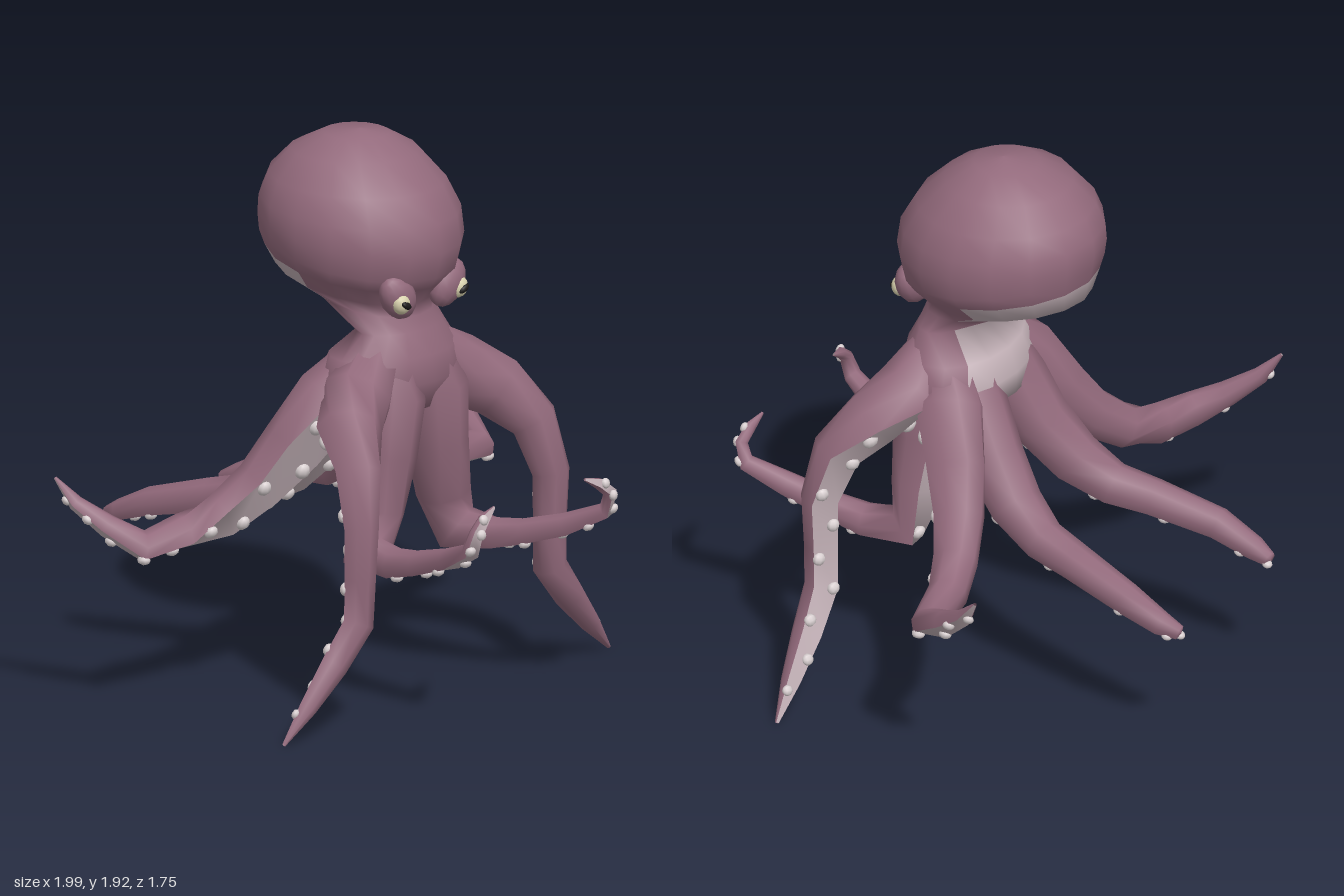
import * as THREE from 'three';

const mat = (color, side = THREE.FrontSide) =>
  new THREE.MeshStandardMaterial({ color, side });
const skin = mat(0x936a7c, THREE.DoubleSide);
const pale = mat(0xc2b0b6, THREE.DoubleSide);
const suckerMat = mat(0xd9d0d1);
const eyeMat = mat(0xd9d2ae);
const pupilMat = mat(0x1c1a1a);
const V = (x, y, z) => new THREE.Vector3(x, y, z);

// Skins closed rings of points; isPale(i, j, centre) sorts faces into two colours.
function loft(name, rings, isPale, crease) {
  const n = rings[0].length;
  const index = [[], []];
  for (let i = 0; i < rings.length - 1; i++) {
    for (let j = 0; j < n; j++) {
      const k = (j + 1) % n;
      const centre = rings[i][j].clone().add(rings[i][k])
        .add(rings[i + 1][j]).add(rings[i + 1][k]).multiplyScalar(0.25);
      const a = i * n + j, b = i * n + k, c = a + n, d = b + n;
      index[isPale(i, j, centre) ? 1 : 0].push(a, b, c, b, d, c);
    }
  }
  const make = (idx) => {
    const g = new THREE.BufferGeometry().setFromPoints(rings.flat());
    g.setIndex(idx);
    g.computeVertexNormals();
    return g;
  };
  const whole = make([...index[0], ...index[1]]);
  const group = new THREE.Group();
  group.name = name;
  index.forEach((idx, p) => {
    const g = make(idx);
    if (!crease) g.setAttribute('normal', whole.getAttribute('normal'));
    const mesh = new THREE.Mesh(g, p ? pale : skin);
    mesh.name = name + (p ? 'Underside' : 'Skin');
    group.add(mesh);
  });
  return group;
}

// Head and mantle rings, tilted up at the back: [front y, back y, front z, back z, half width]
const BODY = [
  [1.925, 1.925, 0.011, 0.009, 0.001], [1.91, 1.912, 0.11, -0.12, 0.11],
  [1.85, 1.855, 0.21, -0.235, 0.215], [1.75, 1.775, 0.31, -0.315, 0.29],
  [1.65, 1.7, 0.365, -0.345, 0.328], [1.55, 1.645, 0.38, -0.35, 0.332],
  [1.46, 1.59, 0.355, -0.342, 0.325], [1.42, 1.535, 0.325, -0.328, 0.298],
  [1.36, 1.46, 0.275, -0.31, 0.235], [1.32, 1.4, 0.28, -0.13, 0.2],
  [1.27, 1.28, 0.295, 0.09, 0.19], [1.19, 1.19, 0.335, -0.015, 0.262],
  [1.1, 1.1, 0.35, -0.045, 0.31], [1.0, 1.02, 0.31, -0.04, 0.26],
  [1.05, 1.06, 0.24, 0.06, 0.14], [1.07, 1.07, 0.151, 0.149, 0.001],
];

function makeBody() {
  const n = 16;
  const rings = BODY.map(([yf, yb, f, b, w]) => Array.from({ length: n }, (_, j) => {
    const a = (j / n) * Math.PI * 2, s = (1 + Math.sin(a)) / 2;
    return V(w * Math.cos(a), yb + (yf - yb) * s, b + (f - b) * s);
  }));
  return loft('body', rings, (i, j, c) => {
    if (i >= 13) return true;
    if (i < 10) return i >= 7 && c.z < 0.04;
    return c.z < 0.14 && Math.abs(c.x) < 0.17;
  }, false);
}

// Arms: [x, y, z, radius, underside direction x, y, z]
const ARMS = {
  outerFrontArm: [
    [0.1, 1.19, 0.2, 0.09, 0.2, -1, -0.3], [0.25, 1.07, 0.22, 0.125, 0.4, -1, -0.5],
    [0.375, 0.995, 0.295, 0.112, 0.4, -0.7, -0.8], [0.448, 0.88, 0.395, 0.085, 0.5, -0.2, -1],
    [0.485, 0.7, 0.44, 0.066, 0.6, 0, -1], [0.485, 0.53, 0.435, 0.06, 0.6, 0, -1],
    [0.49, 0.37, 0.43, 0.06, 0.6, 0.1, -0.9], [0.6, 0.24, 0.42, 0.052, 0.5, 0.2, -0.9],
    [0.72, 0.115, 0.41, 0.034, 0.5, 0.2, -0.9], [0.825, 0.008, 0.4, 0.007, 0.5, 0.2, -0.9],
  ],
  innerFrontArm: [
    [0.07, 1.25, 0.2, 0.085, 0, -0.3, -1], [0.11, 1.04, 0.245, 0.12, 0, 0, -1],
    [0.13, 0.85, 0.242, 0.108, 0, 0, -1], [0.17, 0.66, 0.237, 0.095, 0.2, 0, -1],
    [0.225, 0.522, 0.247, 0.088, 0, -0.7, -0.7], [0.255, 0.52, 0.4, 0.06, 0, -1, 0],
    [0.27, 0.545, 0.52, 0.05, 0, -1, 0], [0.3, 0.595, 0.68, 0.044, 0.1, -1, 0.2],
    [0.345, 0.66, 0.815, 0.032, 0.3, -0.6, 0.7], [0.34, 0.73, 0.838, 0.024, 0.3, 0, 1],
    [0.29, 0.77, 0.83, 0.02, 0, 0.3, 1], [0.23, 0.795, 0.82, 0.005, 0, 0.3, 1],
  ],
  sideArm: [
    [0.1, 1.16, 0.12, 0.09, 0, -1, 0.3], [0.23, 1.04, 0.08, 0.122, 0.3, -0.6, 0.7],
    [0.33, 0.88, 0.0, 0.108, 0.4, -0.5, 0.8], [0.42, 0.75, -0.07, 0.09, 0.3, -0.5, 0.9],
    [0.54, 0.655, -0.13, 0.078, 0.1, -0.4, 1], [0.68, 0.61, -0.185, 0.07, 0, -0.9, 0.4],
    [0.85, 0.59, -0.215, 0.06, 0.2, -1, 0.1], [0.91, 0.655, -0.32, 0.045, 0.6, -0.8, 0],
    [0.96, 0.73, -0.42, 0.03, 0.6, -0.8, 0], [0.99, 0.815, -0.485, 0.006, 0.6, -0.8, 0],
  ],
  backArm: [
    [0.08, 1.17, 0.09, 0.085, 0, -1, 0.5], [0.12, 1.02, 0.05, 0.112, 0, -0.4, 1],
    [0.15, 0.85, -0.04, 0.106, 0, -0.4, 1], [0.19, 0.71, -0.16, 0.092, 0, -0.8, 0.6],
    [0.225, 0.63, -0.29, 0.075, 0, -1, 0.2], [0.255, 0.605, -0.43, 0.066, 0, -1, 0],
    [0.297, 0.55, -0.66, 0.056, 0, -1, 0], [0.3, 0.495, -0.8, 0.042, 0, -1, 0],
    [0.29, 0.475, -0.865, 0.026, 0, -1, 0], [0.29, 0.473, -0.87, 0.002, 0, -1, 0],
  ],
};
const ARC = [-130, -87, -43, 0, 43, 87, 130].map(THREE.MathUtils.degToRad);
const suckerGeo = new THREE.SphereGeometry(1, 8, 6);

function makeArm(name, rows, side) {
  const pts = rows.map((r) => V(r[0] * side, r[1], r[2]));
  // Frame at each row: underside u, sideways s, radius r
  const frames = rows.map((r, i) => {
    const t = pts[Math.min(i + 1, pts.length - 1)].clone()
      .sub(pts[Math.max(i - 1, 0)]).normalize();
    const u = V(r[4] * side, r[5], r[6]);
    u.addScaledVector(t, -u.dot(t)).normalize();
    return { u, s: u.clone().cross(t), r: r[3] };
  });
  const rings = frames.map(({ u, s, r }, i) => ARC.map((a) => pts[i].clone()
    .addScaledVector(u, -Math.cos(a) * r).addScaledVector(s, Math.sin(a) * r)));
  const arm = loft(name, rings, (i, j) => j === ARC.length - 1, true);

  // Staggered suckers on the flat underside
  for (let h = 3; h < rows.length * 2 - 3; h += 1.5) {
    const i = Math.floor(h / 2), f = h / 2 - i;
    const A = frames[i], B = frames[i + 1];
    const r = A.r + (B.r - A.r) * f;
    const u = A.u.clone().lerp(B.u, f).normalize();
    const s = A.s.clone().lerp(B.s, f).normalize();
    const offset = (h / 1.5) % 2 < 1 ? 0.45 : -0.45;
    const sucker = new THREE.Mesh(suckerGeo, suckerMat);
    sucker.name = 'sucker';
    sucker.position.copy(pts[i]).lerp(pts[i + 1], f)
      .addScaledVector(u, r * 0.67).addScaledVector(s, r * offset * side);
    const size = 0.016 + r * 0.12;
    sucker.scale.set(size, size, size * 0.75);
    sucker.quaternion.setFromUnitVectors(V(0, 0, 1), u);
    arm.add(sucker);
  }
  return arm;
}

// Eye: slanted lid, ball and pupil
function makeEye(side) {
  const eye = new THREE.Group();
  eye.name = side > 0 ? 'leftEye' : 'rightEye';
  const add = (name, material, pos, scale, tilt) => {
    const m = new THREE.Mesh(new THREE.SphereGeometry(1, 12, 8), material);
    m.name = name;
    m.position.set(pos[0] * side, pos[1], pos[2]);
    m.scale.set(...scale);
    m.rotation.z = tilt * side;
    eye.add(m);
  };
  add('eyelid', skin, [0.125, 1.412, 0.292], [0.066, 0.09, 0.054], -0.65);
  add('eyeball', eyeMat, [0.146, 1.397, 0.325], [0.034, 0.038, 0.032], -0.4);
  add('pupil', pupilMat, [0.146, 1.395, 0.349], [0.024, 0.013, 0.014], 0.5);
  return eye;
}

export function createModel() {
  const model = new THREE.Group();
  model.name = 'octopus';
  model.add(makeBody());
  for (const side of [1, -1]) {
    model.add(makeEye(side));
    for (const [name, rows] of Object.entries(ARMS)) model.add(makeArm(name, rows, side));
  }
  return model;
}
